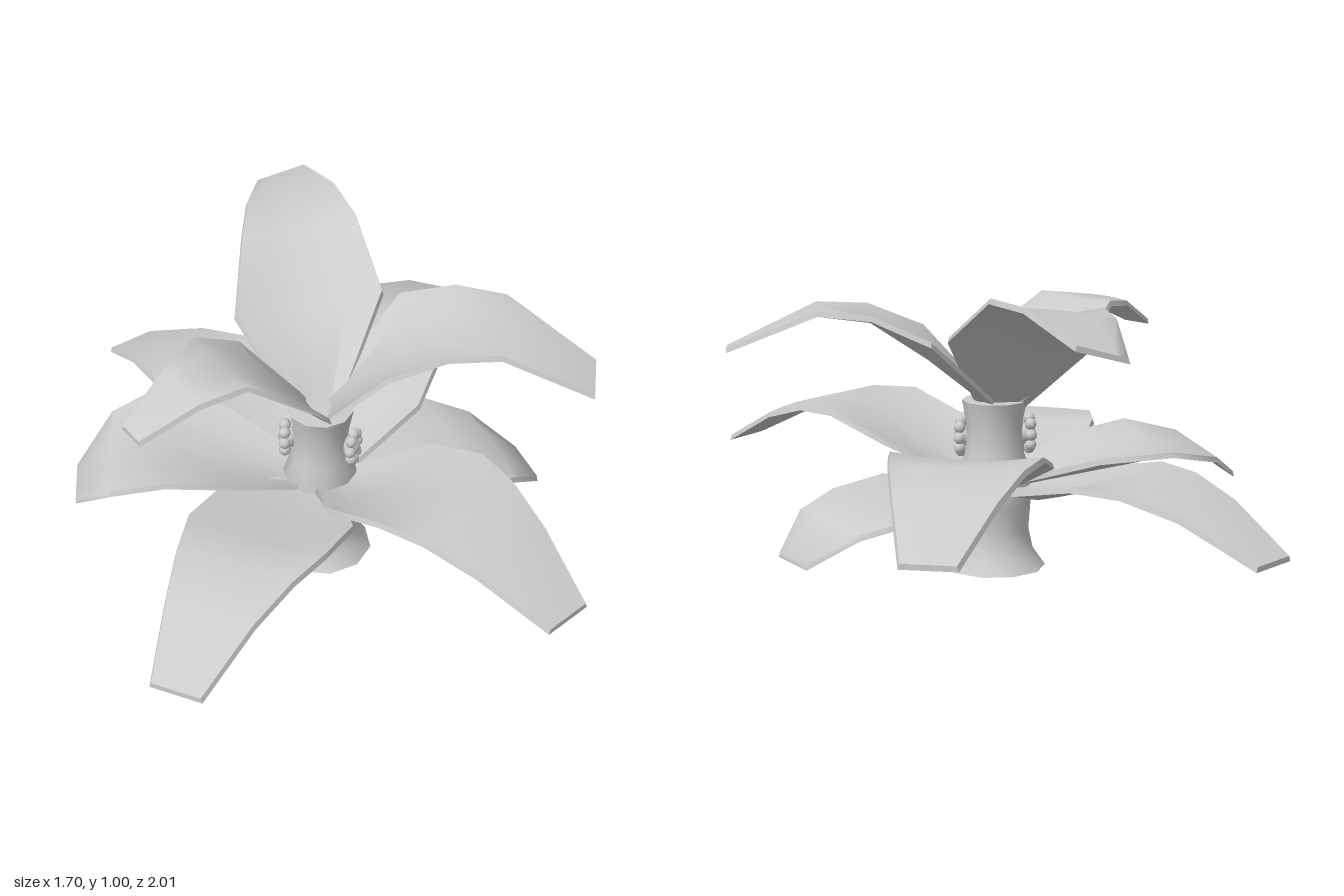
import * as THREE from 'three';
import { toCreasedNormals } from 'three/addons/utils/BufferGeometryUtils.js';

const CX = -0.03, CZ = 0.06; // trunk axis
const material = new THREE.MeshStandardMaterial({ color: 0xcccccc, side: THREE.DoubleSide });

// Leaf growing from the trunk axis towards a tip, with a slightly wider underside.
// Stations: [distance, edge height, half width, centre drop, sideways shift]
function leafGeometry(tipX, tipZ, stations, { scale = 1, lift = 0, tilt = 0 } = {}) {
  const dir = new THREE.Vector2(tipX - CX, tipZ - CZ).normalize();
  const across = [-1, -0.5, 0, 0.5, 1];
  const thickness = 0.018, bevel = 0.006;
  const pos = [], index = [];
  for (const [dist, y, half, drop, shift = 0] of stations) {
    const point = (t, down, widen) => {
      const a = dist * scale, s = t * (half + widen) + shift;
      pos.push(
        CX + dir.x * a + dir.y * s,
        y + lift + tilt * t - drop * (1 - t * t) - down,
        CZ + dir.y * a - dir.x * s);
    };
    across.forEach(t => point(t, 0, 0));
    [...across].reverse().forEach(t => point(t, thickness, bevel));
  }
  const n = across.length * 2, last = (stations.length - 1) * n;
  for (let i = 0; i < last; i += n) {
    for (let j = 0; j < n; j++) {
      const k = (j + 1) % n;
      index.push(i + j, i + n + j, i + k, i + k, i + n + j, i + n + k);
    }
  }
  // End caps
  for (let j = 0; j < across.length - 1; j++) {
    const a = j, b = j + 1, c = n - 2 - j, d = n - 1 - j;
    index.push(a, b, c, a, c, d);
    index.push(last + a, last + c, last + b, last + a, last + d, last + c);
  }
  const g = new THREE.BufferGeometry();
  g.setAttribute('position', new THREE.Float32BufferAttribute(pos, 3));
  g.setIndex(index);
  return toCreasedNormals(g, 1.0);
}

// Leaf shapes; the long ones are shared by the four diagonal lower leaves
const LONG_HIGH = [
  [0.04, 0.31, 0.07, 0.02], [0.28, 0.445, 0.24, 0.06], [0.50, 0.52, 0.245, 0.02],
  [0.66, 0.515, 0.21, -0.005], [0.84, 0.46, 0.16, -0.01], [1.08, 0.335, 0.085, 0]];
const LONG_LOW = [
  [0.04, 0.31, 0.07, 0.01], [0.28, 0.365, 0.24, 0.045], [0.50, 0.415, 0.24, 0.02],
  [0.66, 0.41, 0.20, -0.005], [0.84, 0.36, 0.15, -0.01], [1.08, 0.235, 0.085, 0]];
const SIDE_RIGHT = [
  [0.04, 0.31, 0.07, 0.02], [0.30, 0.405, 0.21, 0.06, -0.03], [0.52, 0.44, 0.275, 0.04, -0.07],
  [0.70, 0.395, 0.22, 0, -0.04], [0.82, 0.30, 0.09, 0]];
const SIDE_LEFT = [
  [0.04, 0.285, 0.07, 0], [0.30, 0.31, 0.265, 0.02, 0.03], [0.50, 0.285, 0.255, 0, 0.03],
  [0.64, 0.24, 0.20, -0.005, 0.01], [0.77, 0.135, 0.09, 0]];
const TOP_BACK = [
  [0.03, 0.58, 0.08, 0.02], [0.26, 0.82, 0.245, 0.075], [0.50, 0.98, 0.19, 0.03],
  [0.70, 0.98, 0.15, -0.005], [0.96, 0.905, 0.083, 0]];
const TOP_LEFT = [
  [0.01, 0.58, 0.08, 0.02], [0.23, 0.82, 0.23, 0.07, 0.095], [0.42, 0.90, 0.195, 0.02, 0.08],
  [0.59, 0.91, 0.16, -0.005, 0.06], [0.89, 0.77, 0.08, 0]];
const TOP_RIGHT = [
  [0.01, 0.58, 0.08, 0.02], [0.15, 0.75, 0.23, 0.045, -0.03], [0.36, 0.89, 0.16, 0.01, -0.03],
  [0.52, 0.865, 0.11, -0.005, -0.01], [0.71, 0.77, 0.05, 0]];

// Small flower: a ring of beads round a centre bead, facing outwards
function flower(name, x, y, z) {
  const group = new THREE.Group();
  group.name = name;
  const add = (part, r, px, py, pz) => {
    const m = new THREE.Mesh(new THREE.SphereGeometry(r, 8, 6), material);
    m.name = part;
    m.position.set(px, py, pz);
    group.add(m);
  };
  add('flowerCentre', 0.036, 0, 0, 0);
  for (let i = 0; i < 8; i++) {
    const a = i / 8 * Math.PI * 2;
    add('flowerBead', 0.02, Math.cos(a) * 0.036, Math.sin(a) * 0.05, 0.012);
  }
  group.position.set(x, y, z);
  group.rotation.y = Math.atan2(x - CX, z - CZ);
  return group;
}

export function createModel() {
  const root = new THREE.Group();
  root.name = 'plant';

  // Trunk with flared foot, a collar under the lower leaves and a flared crown
  const profile = [[0, 0], [0.172, 0], [0.13, 0.06], [0.115, 0.13], [0.122, 0.22], [0.135, 0.29],
    [0.10, 0.39], [0.095, 0.50], [0.11, 0.575], [0, 0.585]]
    .map(p => new THREE.Vector2(...p));
  const trunk = new THREE.Mesh(
    toCreasedNormals(new THREE.LatheGeometry(profile, 10), 0.9), material);
  trunk.name = 'trunk';
  trunk.position.set(CX, 0, CZ);
  root.add(trunk);

  // Leaves
  const leaves = [
    ['lowerLeafFrontLeft', 0.595, 0.94, LONG_HIGH],
    ['lowerLeafFrontRight', -0.63, 0.945, LONG_LOW],
    ['lowerLeafBackLeft', 0.565, -0.955, LONG_HIGH, { scale: 1.09, lift: -0.01 }],
    ['lowerLeafBackRight', -0.57, -0.955, LONG_LOW, { scale: 1.055, lift: -0.015 }],
    ['lowerLeafRight', -0.845, -0.04, SIDE_RIGHT],
    ['lowerLeafLeft', 0.73, -0.09, SIDE_LEFT],
    ['upperLeafBack', -0.005, -0.9, TOP_BACK, { tilt: -0.025 }],
    ['upperLeafLeft', 0.825, 0.305, TOP_LEFT, { tilt: 0.01 }],
    ['upperLeafRight', -0.68, 0.345, TOP_RIGHT],
  ];
  for (const [name, x, z, stations, options] of leaves) {
    const leaf = new THREE.Mesh(leafGeometry(x, z, stations, options), material);
    leaf.name = name;
    root.add(leaf);
  }

  // Flowers on both sides of the trunk
  root.add(flower('flowerLeft', 0.06, 0.445, 0.11));
  root.add(flower('flowerRight', -0.135, 0.455, 0.04));
  return root;
}
